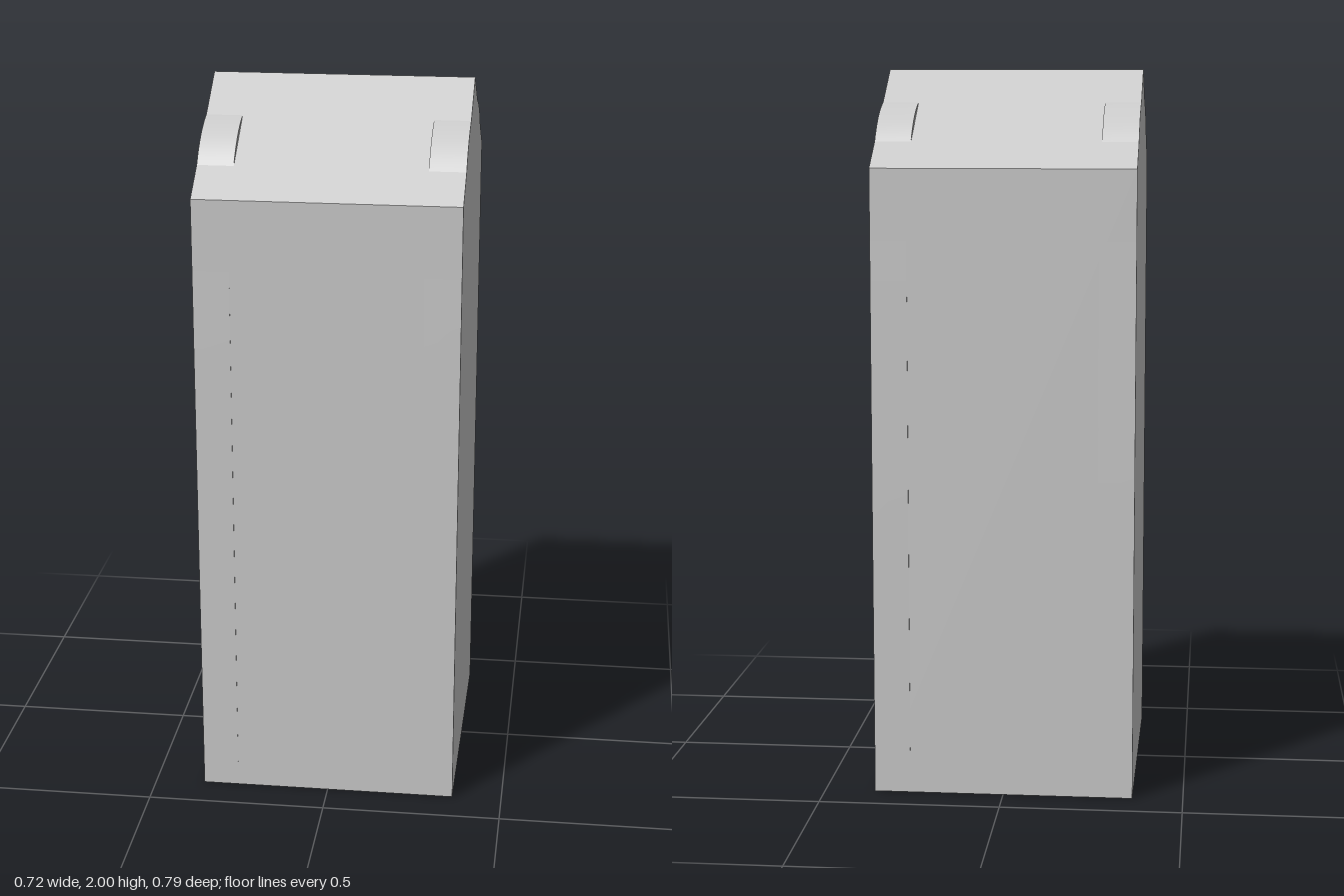
import * as THREE from 'three';
import { toCreasedNormals } from 'three/addons/utils/BufferGeometryUtils.js';

const HALF_W = 0.36, HALF_D = 0.394, EAVE = 1.735, RIDGE = 2;
const material = new THREE.MeshStandardMaterial({ color: 0xcccccc });

// Extrudes a (z, y) outline along x, starting at x0
function extrudeAlongX(points, x0, width, name) {
  const shape = new THREE.Shape(points.map(([z, y]) => new THREE.Vector2(-z, y)));
  const raw = new THREE.ExtrudeGeometry(shape, { depth: width, bevelEnabled: false });
  raw.rotateY(Math.PI / 2).translate(x0, 0, 0);
  const mesh = new THREE.Mesh(toCreasedNormals(raw, 0.12), material);
  mesh.name = name;
  return mesh;
}

// Shallow arc bulging outward from the line a-b
function bulge(a, b, height, side) {
  const dz = b[0] - a[0], dy = b[1] - a[1], len = Math.hypot(dz, dy);
  const points = [];
  for (let i = 0; i <= 14; i++) {
    const t = i / 14, h = 4 * t * (1 - t) * height;
    points.push([side * (a[0] + dz * t - (dy / len) * h), a[1] + dy * t + (dz / len) * h]);
  }
  return points;
}

export function createModel() {
  const group = new THREE.Group();

  // Tall block with a gabled top
  group.add(extrudeAlongX([
    [-HALF_D, 0], [HALF_D, 0], [HALF_D, EAVE], [0, RIDGE], [-HALF_D, EAVE],
  ], -HALF_W, 2 * HALF_W, 'gabledBody'));

  const roof = z => [z, RIDGE - (RIDGE - EAVE) * z / HALF_D];
  for (const side of [1, -1]) {
    for (const x of [-HALF_W, 0.26]) {
      // Rounded pads on the roof slopes
      group.add(extrudeAlongX(bulge(roof(0.137), roof(0.292), 0.016, side), x, 0.1, 'roofPad'));
      // Barely raised strips on the front and back walls
      group.add(extrudeAlongX(bulge([HALF_D, 1.54], [HALF_D, 0.02], 0.002, side), x, 0.1, 'wallStrip'));
    }
  }
  return group;
}
